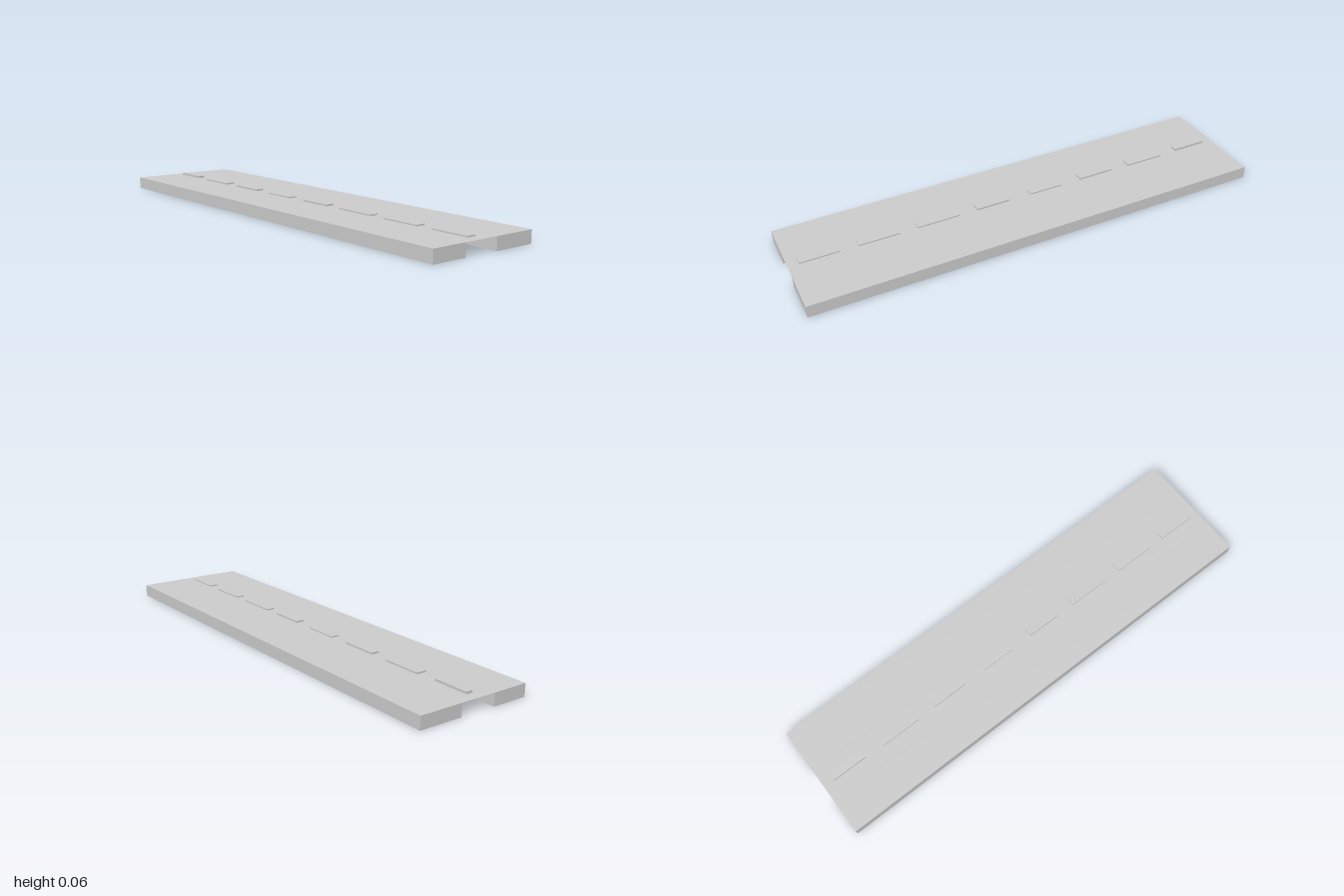
import * as THREE from 'three';

export function createModel() {
  const model = new THREE.Group();
  const material = new THREE.MeshStandardMaterial({ color: 0xcccccc, flatShading: true, side: THREE.DoubleSide });
  const deckY = 0.053;

  // Box given by its minimum and maximum on each axis
  function addBox(name, [x0, x1], [y0, y1], [z0, z1]) {
    const mesh = new THREE.Mesh(new THREE.BoxGeometry(x1 - x0, y1 - y0, z1 - z0), material);
    mesh.position.set((x0 + x1) / 2, (y0 + y1) / 2, (z0 + z1) / 2);
    mesh.name = name;
    model.add(mesh);
  }

  // Road slabs on either side of the open channel
  addBox('leftSlab', [0.063, 0.25], [0, deckY], [-1, 1]);
  addBox('rightSlab', [-0.25, -0.095], [0, deckY], [-1, 1]);

  // Thin road surface bridging the channel
  const deck = new THREE.Mesh(new THREE.PlaneGeometry(0.158, 2).rotateX(-Math.PI / 2), material);
  deck.position.set(-0.016, deckY, 0);
  deck.name = 'roadSurface';
  model.add(deck);

  // Raised centre-line dashes: back z, front z, width, top y
  const dashes = [
    [-0.955, -0.80, 0.030, 0.063],
    [-0.715, -0.54, 0.043, 0.060],
    [-0.455, -0.295, 0.036, 0.061],
    [-0.20, -0.05, 0.038, 0.059],
    [0.05, 0.20, 0.037, 0.061],
    [0.28, 0.465, 0.038, 0.059],
    [0.54, 0.715, 0.041, 0.059],
    [0.79, 0.955, 0.040, 0.059],
  ];
  dashes.forEach(([z0, z1, width, top], i) => {
    addBox(`laneDash${i + 1}`, [-0.017 - width / 2, -0.017 + width / 2], [deckY - 0.001, top], [z0, z1]);
  });

  return model;
}
